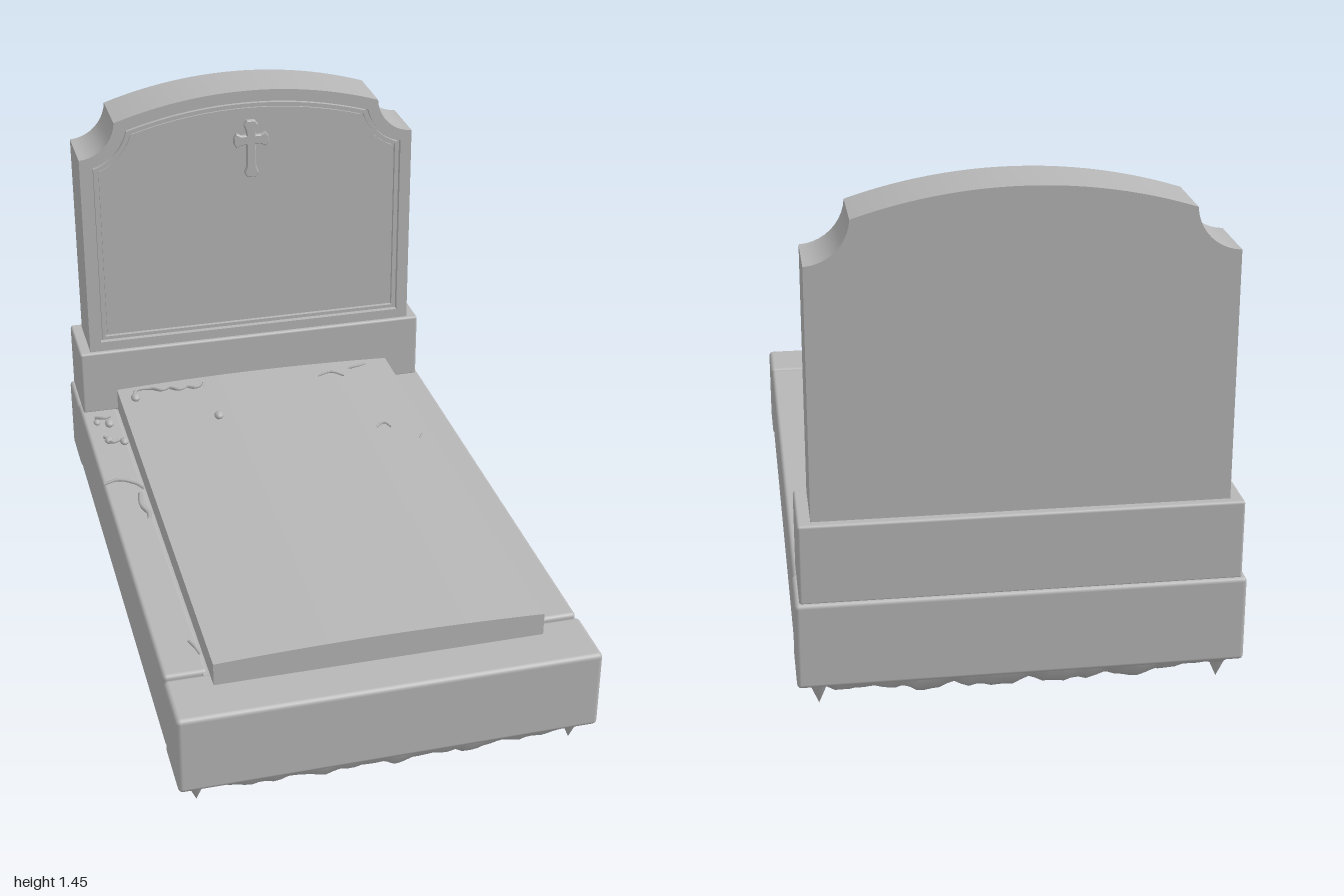
import * as THREE from 'three';
import { toCreasedNormals } from 'three/addons/utils/BufferGeometryUtils.js';
import { RoundedBoxGeometry } from 'three/addons/geometries/RoundedBoxGeometry.js';

const stone = new THREE.MeshStandardMaterial({ color: 0xb6b6b6 });
stone.name = 'grey stone';

function add(group, name, geometry, x = 0, y = 0, z = 0) {
  const mesh = new THREE.Mesh(geometry, stone);
  mesh.name = name;
  mesh.position.set(x, y, z);
  group.add(mesh);
  return mesh;
}

// Rounded block given by its limits on each axis
function block(group, name, [x0, x1], [y0, y1], [z0, z1], r) {
  return add(group, name, new RoundedBoxGeometry(x1 - x0, y1 - y0, z1 - z0, 2, r),
    (x0 + x1) / 2, (y0 + y1) / 2, (z0 + z1) / 2);
}

// Headstone outline inset by d: arched top, scooped shoulders
function outline(d) {
  const cx = 0.57, cy = 1.38, r = 0.125 + d;
  const topY = 0.027, R = 1.418 - d, w = 0.565 - d;
  const D = Math.hypot(cx, cy - topY);
  const a0 = -Math.PI / 2 - Math.asin((cx - w) / r);
  const a1 = Math.atan2(topY - cy, -cx) - Math.acos((D * D + r * r - R * R) / (2 * D * r));
  const half = [];
  for (let i = 0; i <= 10; i++) {
    const a = a0 + (a1 - a0) * i / 10;
    half.push([cx + r * Math.cos(a), cy + r * Math.sin(a)]);
  }
  const [ex, ey] = half[10];
  const b0 = Math.atan2(ex, ey - topY);
  for (let i = 1; i <= 12; i++) {
    const b = b0 * (1 - i / 12);
    half.push([R * Math.sin(b), topY + R * Math.cos(b)]);
  }
  const right = [[w, 0.55 + d], ...half];
  const left = right.slice(0, -1).reverse().map(([x, y]) => [-x, y]);
  return [...right, ...left].map(([x, y]) => new THREE.Vector2(x, y));
}

function plate(group, name, outer, hole, z, depth) {
  const shape = new THREE.Shape(outer);
  if (hole) shape.holes.push(new THREE.Path(hole));
  const geo = new THREE.ExtrudeGeometry(shape, { depth, bevelEnabled: false });
  add(group, name, toCreasedNormals(geo, 0.5), 0, 0, z);
}

// Cross with slightly flared arms
function crossGeometry() {
  const quarter = (sy, len) => [[0.012, sy * 0.013], [0.013, sy * (len - 0.035)], [0.021, sy * (len - 0.012)], [0.012, sy * len]];
  const arm = [[0.034, 0.013], [0.049, 0.021], [0.056, 0.01]];
  const right = [
    ...quarter(-1, 0.128).reverse(),
    ...arm.map(([x, y]) => [x, -y]), ...arm.slice().reverse(),
    ...quarter(1, 0.065),
  ];
  const left = right.slice().reverse().map(([x, y]) => [-x, y]);
  const shape = new THREE.Shape([...right, ...left].map(([x, y]) => new THREE.Vector2(x, y)));
  return new THREE.ExtrudeGeometry(shape, {
    depth: 0.012, bevelEnabled: true, bevelSize: 0.003, bevelThickness: 0.004, bevelSegments: 1,
  });
}

// Ragged ring of rough footing hanging under the kerb
function footingGeometry() {
  const corners = [[1, 1], [1, -1], [-1, -1], [-1, 1]];
  const section = [[1, 0], [0.85, 0.55], [0.4, 0.95], [-0.3, 0.9], [-0.8, 0.5], [-1, 0]];
  const steps = 56, total = steps * 4, n = section.length;
  const pos = [], idx = [];
  for (let i = 0; i <= total; i++) {
    const k = i % total, side = Math.floor(k / steps), f = (k % steps) / steps;
    const [ax, az] = corners[side], [bx, bz] = corners[(side + 1) % 4];
    const sx = ax + (bx - ax) * f, sz = az + (bz - az) * f;
    const t = 2 * f - 1, p = k / total * Math.PI * 2;
    const noise = Math.sin(p * 23) * 0.5 + Math.sin(p * 41 + 1) * 0.35 + Math.sin(p * 67 + 2) * 0.3;
    const depth = Math.min(0.085, Math.max(0.012, 0.018 + 0.05 * (1 - t ** 4) + 0.013 * noise));
    for (const [o, v] of section) {
      const q = o * (1 + 0.08 * noise * v);
      pos.push(sx * (0.55 + 0.055 * q), 0.09 - depth * v, sz * (0.905 + 0.083 * q));
    }
  }
  for (let i = 0; i < total; i++) for (let j = 0; j < n - 1; j++) {
    const a = i * n + j, b = a + 1, c = a + n, d = c + 1;
    idx.push(a, b, c, b, d, c);
  }
  const geo = new THREE.BufferGeometry();
  geo.setAttribute('position', new THREE.Float32BufferAttribute(pos, 3));
  geo.setIndex(idx);
  geo.computeVertexNormals();
  return geo;
}

// Cover slab, gently crowned and rising towards the headstone
function slabGeometry() {
  const geo = new THREE.BoxGeometry(0.966, 0.08, 1.61, 16, 1, 1);
  const p = geo.attributes.position;
  for (let i = 0; i < p.count; i++) {
    if (p.getY(i) < 0) continue;
    const x = p.getX(i) / 0.483, back = p.getZ(i) < 0 ? 0.008 : 0;
    p.setY(i, 0.03 + 0.012 * (1 - x * x) + back);
  }
  geo.computeVertexNormals();
  return geo;
}

export function createModel() {
  const model = new THREE.Group();
  model.name = 'grave';

  // Kerb: front piece separated from the sides by a narrow joint
  const kerb = new THREE.Group();
  kerb.name = 'kerb';
  model.add(kerb);
  const ky = [0.08, 0.33];
  block(kerb, 'frontKerb', [-0.615, 0.615], ky, [0.807, 1], 0.014);
  block(kerb, 'backKerb', [-0.615, 0.615], ky, [-1, -0.81], 0.012);
  block(kerb, 'leftKerb', [0.485, 0.612], ky, [-0.995, 0.795], 0.012);
  block(kerb, 'rightKerb', [-0.612, -0.485], ky, [-0.995, 0.795], 0.012);
  add(kerb, 'innerFloor', new THREE.BoxGeometry(1.0, 0.02, 1.66), 0, 0.315, 0);

  // Rough footing and pointed lumps at the corners
  add(model, 'footing', footingGeometry());
  for (const sx of [-1, 1]) for (const sz of [-1, 1]) {
    const spike = add(model, 'footingSpike', new THREE.ConeGeometry(0.04, 0.09, 7), sx * 0.555, 0.045, sz * 0.935);
    spike.rotation.x = Math.PI;
  }

  add(model, 'coverSlab', slabGeometry(), 0, 0.37, 0.06);
  block(model, 'plinth', [-0.602, 0.602], [0.325, 0.555], [-0.99, -0.752], 0.008);

  // Headstone with a stepped frame around the sunken face
  const headstone = new THREE.Group();
  headstone.name = 'headstone';
  model.add(headstone);
  plate(headstone, 'headstoneBody', outline(0), null, -0.965, 0.182);
  plate(headstone, 'outerFrame', outline(0), outline(0.038), -0.783, 0.018);
  plate(headstone, 'frameBead', outline(0.046), outline(0.056), -0.783, 0.013);
  plate(headstone, 'facePanel', outline(0.064), null, -0.783, 0.006);
  add(headstone, 'cross', crossGeometry(), 0.01, 1.273, -0.777);

  // Twigs lying on the slab and ledge: paths of [x, z]
  const debris = new THREE.Group();
  debris.name = 'debris';
  model.add(debris);
  const twig = (y, r, points) => {
    const curve = new THREE.CatmullRomCurve3(points.map(([x, z], i) => new THREE.Vector3(x, y + (i % 2) * 0.006, z)));
    add(debris, 'twig', new THREE.TubeGeometry(curve, points.length * 5, r, 5));
  };
  twig(0.418, 0.006, [[-0.44, -0.65], [-0.42, -0.7], [-0.37, -0.71], [-0.34, -0.68], [-0.31, -0.7], [-0.28, -0.67], [-0.25, -0.69], [-0.22, -0.67], [-0.19, -0.7], [-0.2, -0.66]]);
  twig(0.422, 0.004, [[0.21, -0.65], [0.26, -0.655], [0.3, -0.63]]);
  twig(0.415, 0.004, [[0.33, -0.69], [0.37, -0.69], [0.4, -0.71]]);
  twig(0.417, 0.004, [[0.31, -0.26], [0.34, -0.275], [0.36, -0.25]]);
  twig(0.41, 0.004, [[0.43, -0.16], [0.445, -0.18]]);
  twig(0.333, 0.005, [[-0.61, -0.26], [-0.56, -0.265], [-0.51, -0.24], [-0.488, -0.19]]);
  twig(0.335, 0.008, [[-0.505, -0.17], [-0.515, -0.09], [-0.5, -0.05], [-0.505, 0]]);
  twig(0.335, 0.006, [[-0.56, -0.56], [-0.54, -0.51], [-0.51, -0.53], [-0.49, -0.5]]);
  twig(0.335, 0.006, [[-0.57, -0.7], [-0.54, -0.68], [-0.52, -0.7]]);
  twig(0.333, 0.005, [[-0.51, 0.65], [-0.5, 0.69], [-0.49, 0.72]]);

  // Small pebbles and leaves
  const lumps = [[-0.435, 0.425, -0.645, 0.016], [-0.185, 0.428, -0.45, 0.016], [-0.57, 0.338, -0.66, 0.012],
    [-0.53, 0.34, -0.64, 0.016], [-0.55, 0.338, -0.53, 0.014], [-0.5, 0.338, -0.51, 0.015]];
  for (const [x, y, z, r] of lumps) {
    const lump = add(debris, 'pebble', new THREE.IcosahedronGeometry(r, 1), x, y, z);
    lump.scale.set(1, 0.8, 1.3);
  }
  return model;
}
